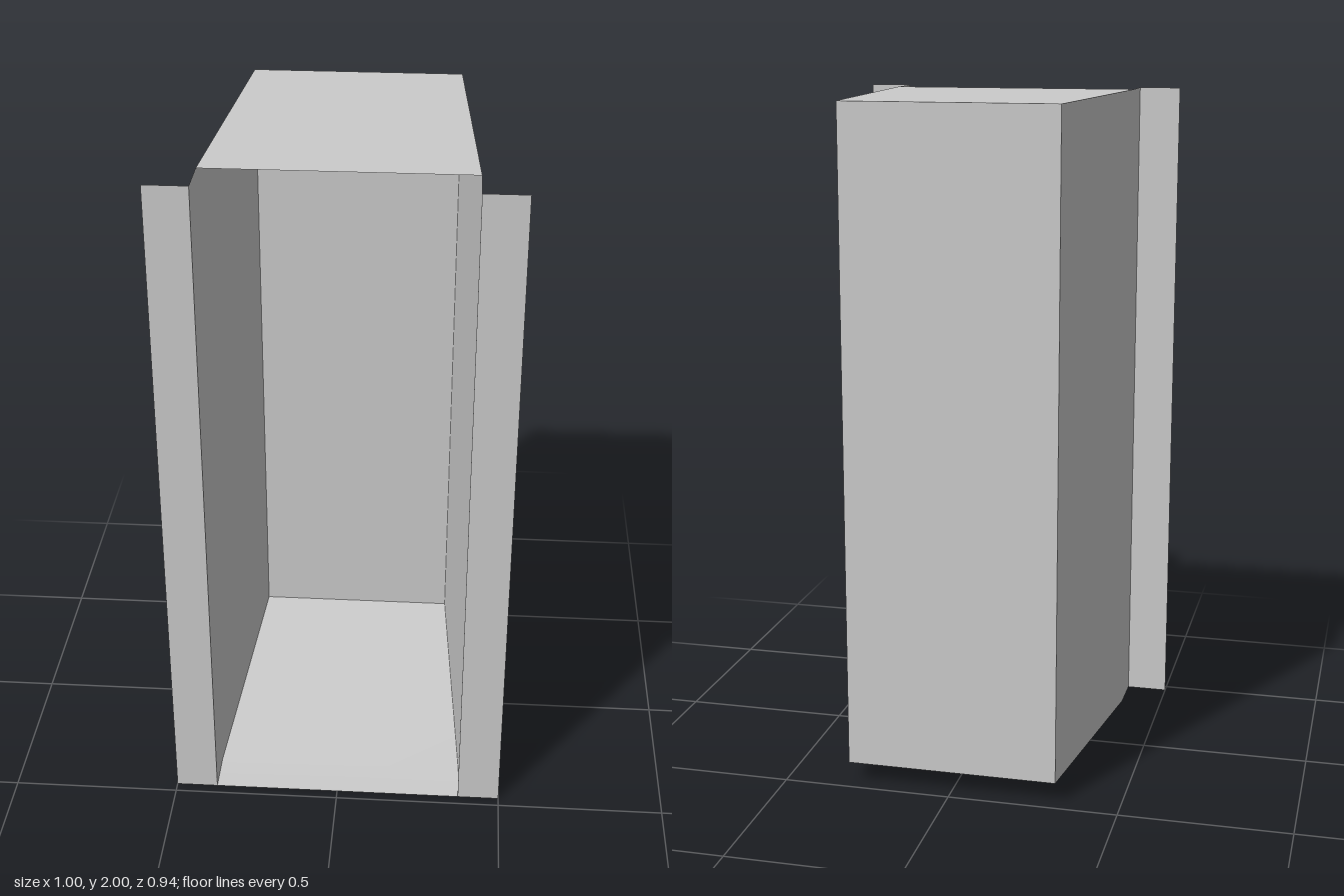
import * as THREE from 'three';

const H = 2, FRONT = 0.469, BEND = 0.344, BACK = -0.469;
const MOUTH = 0.375, REAR = 0.3125, FLANGE = 0.5, RISE = 0.0625;

// Thin sheet stretched between two rails of [x, y, z] points
function sheet(name, material, railA, railB) {
  const points = [], index = [];
  railA.forEach((a, i) => {
    points.push(...a, ...railB[i]);
    if (i > 0) {
      const k = 2 * (i - 1);
      index.push(k, k + 1, k + 2, k + 1, k + 3, k + 2);
    }
  });
  const geometry = new THREE.BufferGeometry();
  geometry.setAttribute('position', new THREE.Float32BufferAttribute(points, 3));
  geometry.setIndex(index);
  geometry.computeVertexNormals();
  const mesh = new THREE.Mesh(geometry, material);
  mesh.name = name;
  return mesh;
}

export function createModel() {
  const group = new THREE.Group();
  group.name = 'openFrontedChute';
  const grey = new THREE.MeshStandardMaterial({ color: 0xcccccc, side: THREE.DoubleSide });
  const add = (name, a, b) => group.add(sheet(name, grey, a, b));

  // Lower and upper edges of a side wall, from back to front
  const lower = s => [[s * REAR, RISE, BACK], [s * MOUTH, 0, BEND], [s * MOUTH, 0, FRONT]];
  const upper = s => lower(s).map(([x, , z]) => [x, H, z]);

  // Side walls and their front flanges
  for (const [side, s] of [['left', 1], ['right', -1]]) {
    const wall = [lower(s), upper(s)];
    if (s < 0) wall.reverse();
    add(side + 'Wall', ...wall);

    const edge = x => [[x, 0, FRONT], [x, H, FRONT]];
    const flange = [edge(s * MOUTH), edge(s * FLANGE)];
    if (s < 0) flange.reverse();
    add(side + 'Flange', ...flange);
  }

  // Floor sloping up to the back
  add('floor', lower(-1), lower(1));

  // Roof, stopping short of the mouth
  const roofEdge = s => upper(s).slice(0, 2).reverse();
  add('roof', roofEdge(-1), roofEdge(1));

  // Back panel
  const backEdge = s => [[s * REAR, H, BACK], [s * REAR, RISE, BACK]];
  add('backPanel', backEdge(-1), backEdge(1));

  return group;
}
